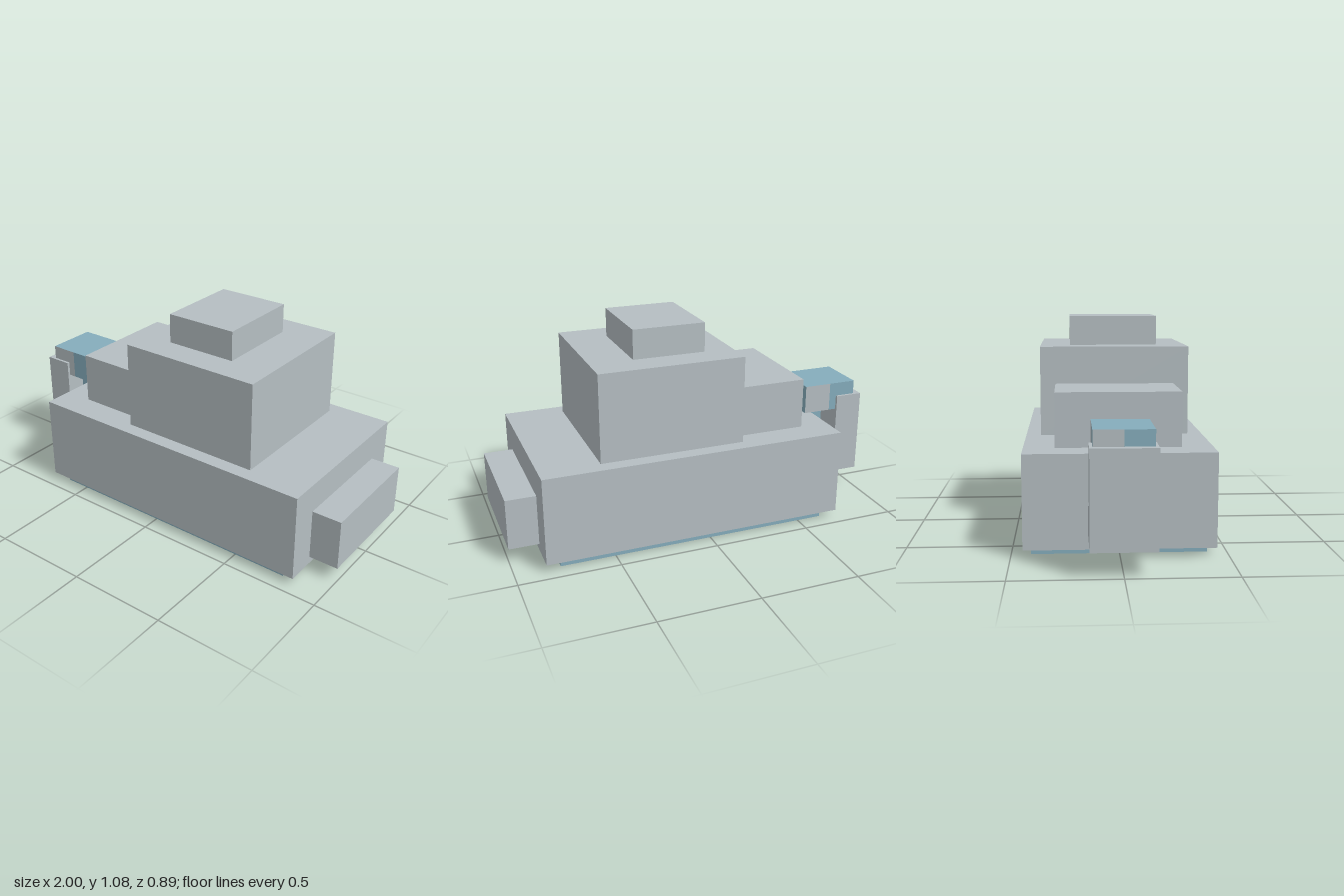
import * as THREE from 'three';

export function createModel() {
  const model = new THREE.Group();
  const grey = new THREE.MeshStandardMaterial({ name: 'pale grey', color: 0xb5bec2 });
  const blue = new THREE.MeshStandardMaterial({ name: 'dusty blue', color: 0x85adbc });

  // Block spanning x0..x1 and y0..y1, centred on z = 0
  function block(name, x0, x1, y0, y1, halfZ, material, segments = 1) {
    const geometry = new THREE.BoxGeometry(x1 - x0, y1 - y0, halfZ * 2, segments, 1, segments);
    const mesh = new THREE.Mesh(geometry, material);
    mesh.name = name;
    mesh.position.set((x0 + x1) / 2, (y0 + y1) / 2, 0);
    model.add(mesh);
    return mesh;
  }

  // Grey blocks with a blue underside (+x, -x, +y, -y, +z, -z)
  const hull = [grey, grey, grey, blue, grey, grey];

  // Base and hull
  block('basePlate', -0.63, 0.776, 0, 0.04, 0.408, blue);
  block('body', -0.705, 0.85, 0.04, 0.483, 0.444, hull);
  block('endBlock', 0.85, 1, 0.077, 0.335, 0.296, hull);

  // Stepped upper blocks
  block('lowerCabin', -0.556, -0.187, 0.483, 0.742, 0.296, hull);
  block('tower', -0.187, 0.55, 0.483, 0.927, 0.371, hull);
  block('towerCap', -0.037, 0.332, 0.927, 1.075, 0.222, hull);

  // Bent arm at the other end
  block('armFoot', -0.855, -0.705, 0.115, 0.26, 0.147, hull);
  block('armUpright', -1, -0.855, 0.115, 0.56, 0.147, hull);

  // Blue head and its neck; each side of the head is half grey, half blue
  block('neck', -0.78, -0.69, 0.378, 0.483, 0.11, blue);
  const head = block('head', -0.962, -0.668, 0.483, 0.633, 0.133, [blue, grey], 2);
  const faces = head.geometry.groups.slice();
  head.geometry.clearGroups();
  faces.forEach(({ start, count }, i) => {
    const isSide = i !== 2 && i !== 3;
    const half = isSide ? count / 2 : 0;
    if (isSide) head.geometry.addGroup(start, half, 1);
    head.geometry.addGroup(start + half, count - half, 0);
  });

  return model;
}
